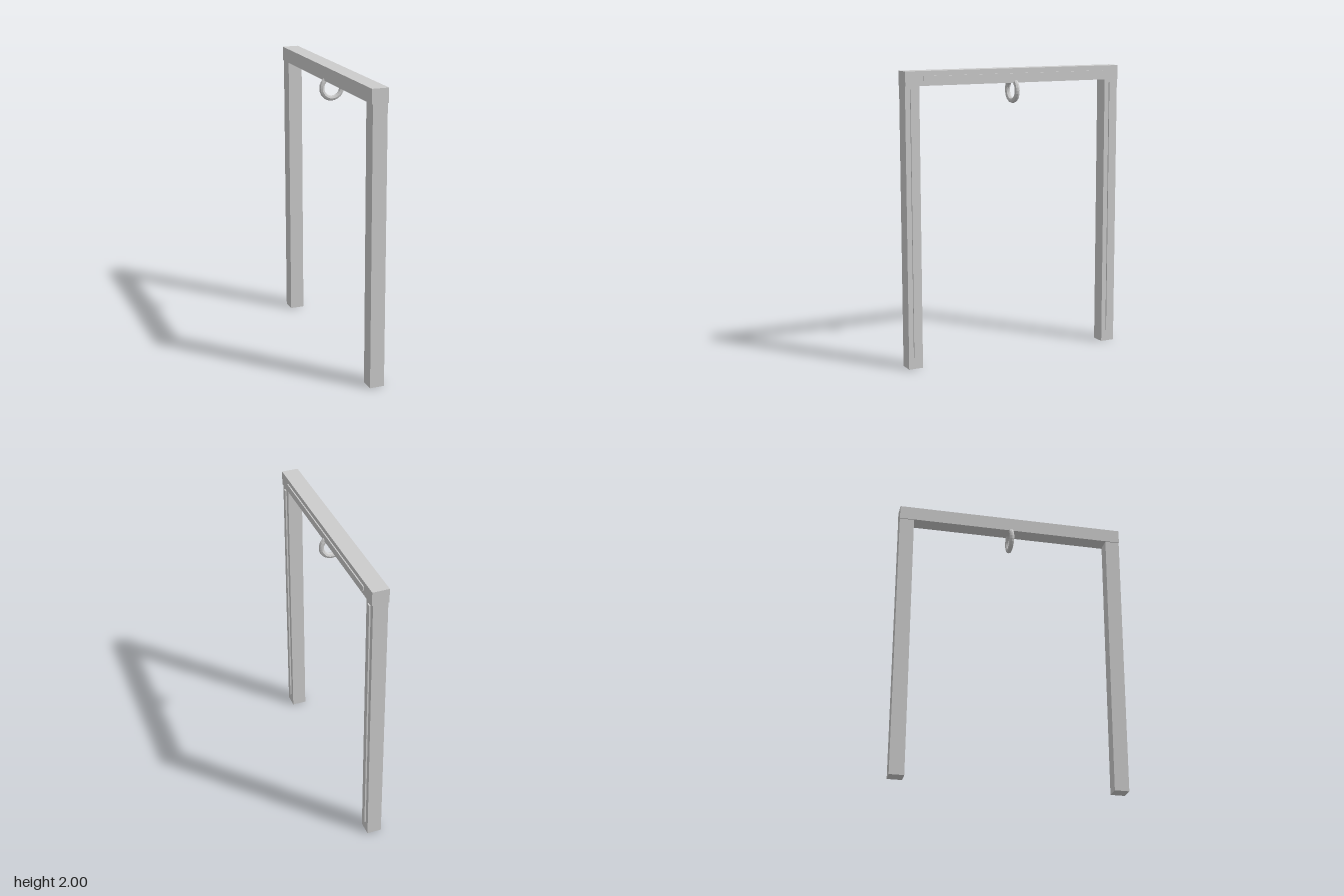
import * as THREE from 'three';

const material = new THREE.MeshStandardMaterial({ color: 0xcccccc, flatShading: true });

export function createModel() {
  const model = new THREE.Group();
  model.name = 'ringFrame';

  const add = (name, geometry, x, y, z) => {
    const mesh = new THREE.Mesh(geometry, material);
    mesh.name = name;
    mesh.position.set(x, y, z);
    model.add(mesh);
  };

  // A box given by its lower and upper bounds on each axis
  const addBox = (name, [x0, x1], [y0, y1], [z0, z1]) =>
    add(name, new THREE.BoxGeometry(x1 - x0, y1 - y0, z1 - z0),
      (x0 + x1) / 2, (y0 + y1) / 2, (z0 + z1) / 2);

  // Cross beam, slightly deeper than the posts, with its raised strip
  addBox('crossBeam', [-0.059, 0.055], [1.903, 2], [-0.807, 0.807]);
  addBox('beamStrip', [0.05, 0.063], [1.937, 1.967], [-0.68, 0.68]);

  // Posts with raised strips, mirrored front to back
  for (const [side, s] of [['front', 1], ['back', -1]]) {
    const span = (a, b) => (s > 0 ? [a, b] : [-b, -a]);
    addBox(side + 'Post', [-0.052, 0.048], [0, 1.903], span(0.706, 0.807));
    addBox(side + 'PostStrip', [0.044, 0.058], [0.078, 1.882], span(0.74, 0.772));
  }

  // Hanging ring, let into the underside of the beam
  add('hangingRing', new THREE.TorusGeometry(0.072, 0.018, 8, 24), 0, 1.85, 0);

  return model;
}
